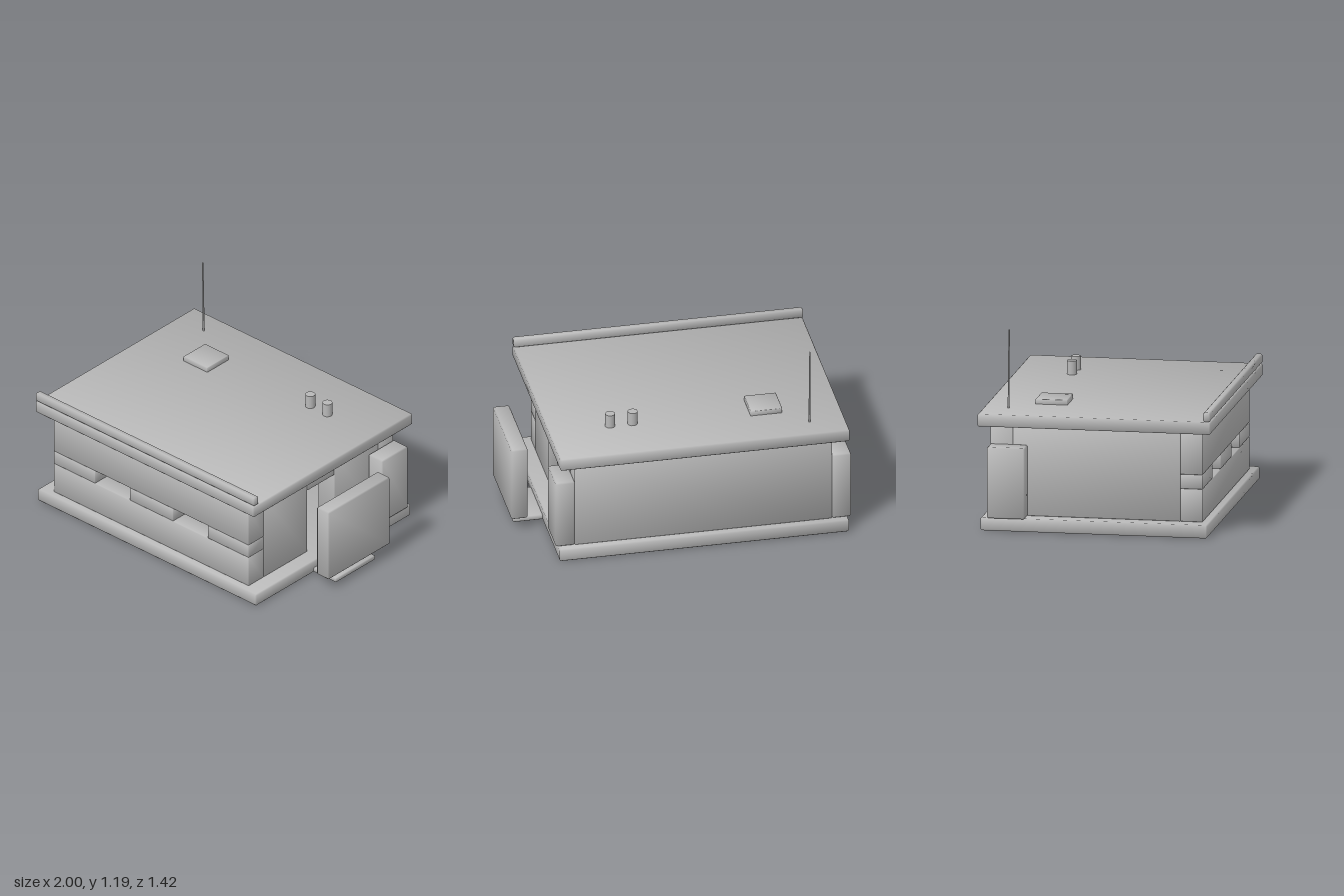
import * as THREE from 'three';
import { ConvexGeometry } from 'three/addons/geometries/ConvexGeometry.js';

// Box with small chamfers and softly blended normals
function chamferBox(w, h, d, r) {
  const half = [w / 2, h / 2, d / 2];
  const points = [];
  for (let axis = 0; axis < 3; axis++) {
    for (const sx of [-1, 1]) for (const sy of [-1, 1]) for (const sz of [-1, 1]) {
      const c = [sx, sy, sz].map((s, i) => s * (half[i] - (i === axis ? 0 : r)));
      points.push(new THREE.Vector3(...c));
    }
  }
  const geo = new ConvexGeometry(points);
  const pos = geo.attributes.position;
  const n = new THREE.Vector3();
  for (let i = 0; i < pos.count; i++) {
    const p = [pos.getX(i), pos.getY(i), pos.getZ(i)];
    n.set(...p.map((v, k) => Math.sign(v) * (Math.abs(v) > half[k] - r / 2 ? 1 : 0.36))).normalize();
    geo.attributes.normal.setXYZ(i, n.x, n.y, n.z);
  }
  return geo;
}

export function createModel() {
  const model = new THREE.Group();
  model.name = 'bunker';
  const concrete = new THREE.MeshStandardMaterial({ color: 0xb8b8b8 });
  concrete.name = 'concrete grey';

  const add = (name, geo, x, y, z) => {
    const mesh = new THREE.Mesh(geo, concrete);
    mesh.name = name;
    mesh.position.set(x, y, z);
    model.add(mesh);
    return mesh;
  };
  // Block given by its extents on each axis
  const block = (name, x0, x1, y0, y1, z0, z1, r = 0.008) =>
    add(name, chamferBox(x1 - x0, y1 - y0, z1 - z0, r), (x0 + x1) / 2, (y0 + y1) / 2, (z0 + z1) / 2);

  // Foundation, roof and front parapet
  block('foundation', -0.98, 0.79, 0, 0.08, -0.69, 0.69);
  block('roof', -0.98, 0.79, 0.635, 0.711, -0.71, 0.71);
  block('parapet', -0.98, 0.79, 0.713, 0.77, 0.665, 0.708);

  // Front wall with three piers between the firing slits
  block('frontWallLower', -0.885, 0.69, 0.08, 0.28, 0.51, 0.647, 0.004);
  block('frontWallUpper', -0.885, 0.69, 0.368, 0.635, 0.51, 0.647, 0.004);
  for (const [x0, x1] of [[-0.885, -0.55], [-0.272, 0.08], [0.357, 0.69]]) {
    block('slitPier', x0, x1, 0.28, 0.368, 0.51, 0.647, 0.004);
  }

  // Back wall, closed side and door side
  block('backWall', -0.885, 0.69, 0.08, 0.635, -0.647, -0.51, 0.004);
  block('rightWall', -0.885, -0.75, 0.08, 0.635, -0.51, 0.51, 0.004);
  block('leftWallFront', 0.555, 0.69, 0.08, 0.635, 0.12, 0.51, 0.004);
  block('leftWallBack', 0.555, 0.69, 0.08, 0.635, -0.51, -0.12, 0.004);
  block('doorLintel', 0.555, 0.69, 0.51, 0.635, -0.12, 0.12, 0.004);

  // Rear buttresses
  block('rightButtress', -1, -0.885, 0.08, 0.515, -0.648, -0.418);
  block('leftButtress', 0.69, 0.807, 0.08, 0.515, -0.648, -0.418);

  // Door step and blast wall
  block('doorStep', 0.6, 0.97, 0.003, 0.033, -0.176, 0.176, 0.005);
  block('blastWall', 0.9, 1, 0.08, 0.555, -0.274, 0.274);

  // Roof hatch, vent pipes and aerial
  block('roofHatch', -0.627, -0.433, 0.7, 0.742, -0.418, -0.224, 0.003);
  for (const x of [0.277, 0.415]) {
    add('ventPipe', new THREE.CylinderGeometry(0.03, 0.03, 0.095, 16), x, 0.7475, -0.36);
  }
  const aerial = add('aerial', new THREE.CylinderGeometry(0.004, 0.006, 0.485, 8), -0.766, 0.9475, -0.555);
  aerial.rotation.set(0.008, 0, 0.008);

  return model;
}
